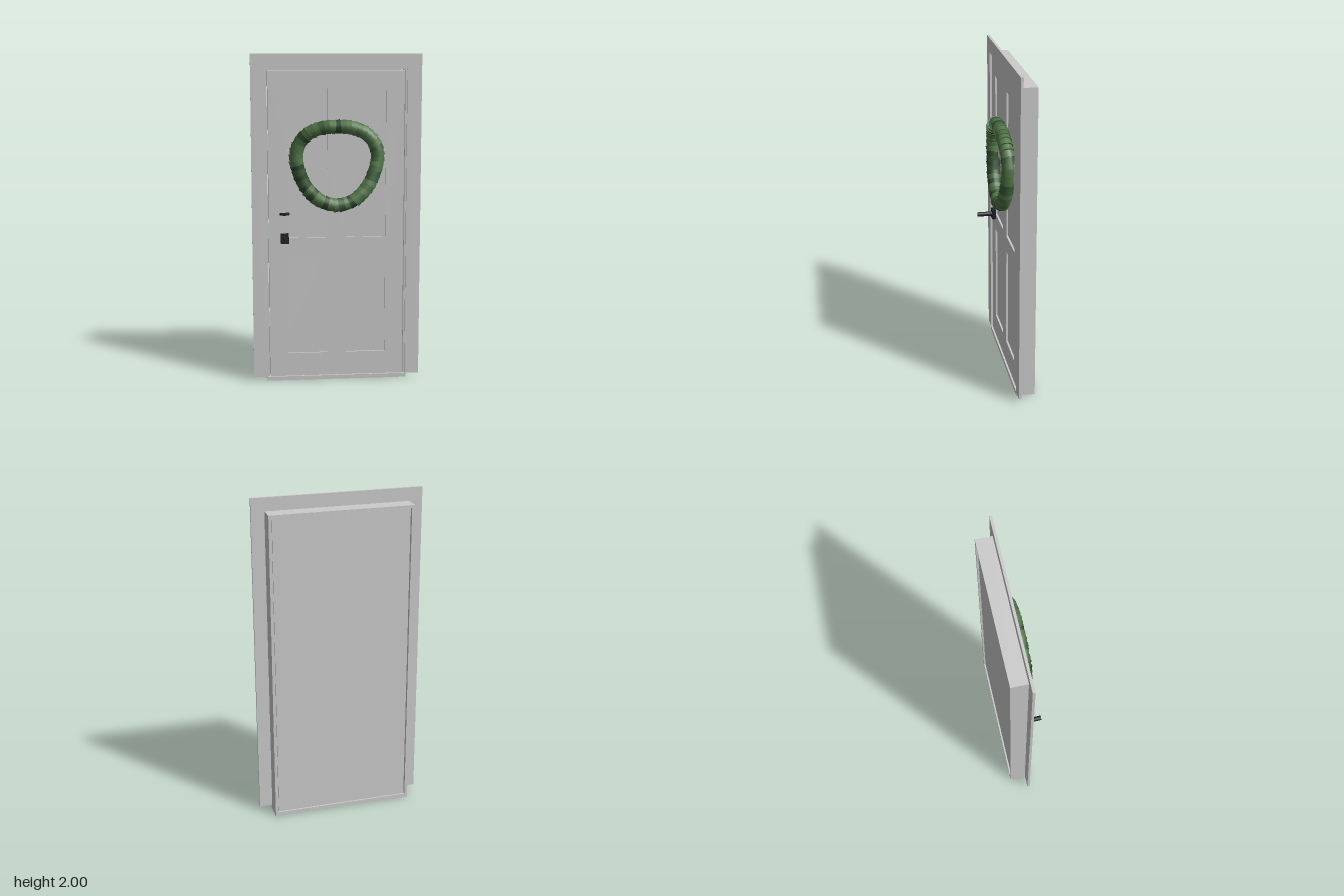
import * as THREE from 'three';

const grey = new THREE.MeshStandardMaterial({ color: 0xcccccc });
const iron = new THREE.MeshStandardMaterial({ color: 0x20222a });
const greens = [0x2f4a2f, 0x3b5c38, 0x4a6e42, 0x55794a].map(
  (color) => new THREE.MeshStandardMaterial({ color }));

function add(parent, name, geometry, material, x = 0, y = 0, z = 0) {
  const mesh = new THREE.Mesh(geometry, material);
  mesh.name = name;
  mesh.position.set(x, y, z);
  parent.add(mesh);
  return mesh;
}

// box given by its limits on each axis
function slab(parent, name, x0, x1, y0, y1, z0, z1, material = grey) {
  return add(parent, name, new THREE.BoxGeometry(x1 - x0, y1 - y0, z1 - z0), material,
    (x0 + x1) / 2, (y0 + y1) / 2, (z0 + z1) / 2);
}

function rect(target, x0, x1, y0, y1) {
  target.moveTo(x0, y0);
  target.lineTo(x1, y0);
  target.lineTo(x1, y1);
  target.lineTo(x0, y1);
  target.closePath();
  return target;
}

const plate = (shape, depth) => new THREE.ExtrudeGeometry(shape, { depth, bevelEnabled: false });

function createFrame() {
  const frame = new THREE.Group();
  frame.name = 'doorFrame';
  // flat casing, open at the bottom
  const casing = new THREE.Shape([
    [-0.512, 0.025], [-0.425, 0.025], [-0.425, 1.91], [0.425, 1.91],
    [0.425, 0.025], [0.512, 0.025], [0.512, 2], [-0.512, 2],
  ].map(([x, y]) => new THREE.Vector2(x, y)));
  add(frame, 'casing', plate(casing, 0.015), grey, 0, 0, -0.009);
  // deep jamb and sill behind the casing
  const jamb = rect(new THREE.Shape(), -0.433, 0.433, 0.01, 1.92);
  jamb.holes.push(rect(new THREE.Path(), -0.415, 0.415, 0.022, 1.903));
  add(frame, 'jamb', plate(jamb, 0.1), grey, 0, 0, -0.108);
  slab(frame, 'sill', -0.433, 0.433, 0, 0.025, -0.108, 0.006);
  return frame;
}

function createDoor() {
  const door = new THREE.Group();
  door.name = 'door';
  slab(door, 'doorCore', -0.411, 0.411, 0.02, 1.9, -0.098, -0.016);
  // face with six sunk panels
  const face = rect(new THREE.Shape(), -0.411, 0.411, 0.025, 1.9);
  for (const [y0, y1] of [[0.17, 0.79], [0.895, 1.315], [1.425, 1.795]]) {
    face.holes.push(rect(new THREE.Path(), 0.055, 0.3, y0, y1));
    face.holes.push(rect(new THREE.Path(), -0.3, -0.055, y0, y1));
  }
  add(door, 'panelledFace', plate(face, 0.012), grey, 0, 0, -0.017);
  return door;
}

function createHardware() {
  const hardware = new THREE.Group();
  hardware.name = 'hardware';
  slab(hardware, 'handlePlate', -0.34, -0.292, 0.862, 0.924, -0.006, 0.018, iron);
  const lever = add(hardware, 'handle', new THREE.CylinderGeometry(0.014, 0.014, 0.104, 20), iron,
    -0.316, 0.893, 0.056);
  lever.rotation.x = Math.PI / 2;
  // half-round lock turn lying flat
  const turn = new THREE.CylinderGeometry(0.03, 0.03, 0.012, 24);
  const lock = add(hardware, 'lockTurn', turn, iron, -0.316, 1.044, 0.004);
  lock.scale.z = 1;
  return hardware;
}

function createWreath() {
  const wreath = new THREE.Group();
  wreath.name = 'wreath';
  // right half of the ring, mirrored for the left
  const half = [[0, 1.57], [0.09, 1.563], [0.17, 1.53], [0.228, 1.465], [0.246, 1.385],
    [0.223, 1.285], [0.18, 1.2], [0.1, 1.125], [0, 1.098]];
  const points = [...half, ...half.slice(1, -1).reverse().map(([x, y]) => [-x, y])].map(
    ([x, y]) => new THREE.Vector3(x, y, 0.031 - 0.011 * (Math.abs(x) / 0.246) ** 3));
  const ring = new THREE.CatmullRomCurve3(points, true);
  let seed = 7;
  const random = () => (seed = (seed * 16807) % 2147483647) / 2147483647;
  const up = new THREE.Vector3(0, 1, 0);
  const count = 48;
  // overlapping tapered tufts
  const tuft = new THREE.CylinderGeometry(0.044, 0.038, 0.042, 16);
  for (let i = 0; i < count; i++) {
    const t = i / count;
    const mesh = add(wreath, 'tuft', tuft, greens[Math.floor(random() * greens.length)]);
    mesh.position.copy(ring.getPointAt(t));
    mesh.quaternion.setFromUnitVectors(up, ring.getTangentAt(t));
    mesh.rotateZ((random() - 0.5) * 0.25);
    mesh.rotateX((random() - 0.5) * 0.15);
    mesh.scale.setScalar(0.96 + random() * 0.06);
  }
  return wreath;
}

export function createModel() {
  const model = new THREE.Group();
  model.name = 'frontDoor';
  model.add(createFrame(), createDoor(), createHardware(), createWreath());
  return model;
}
